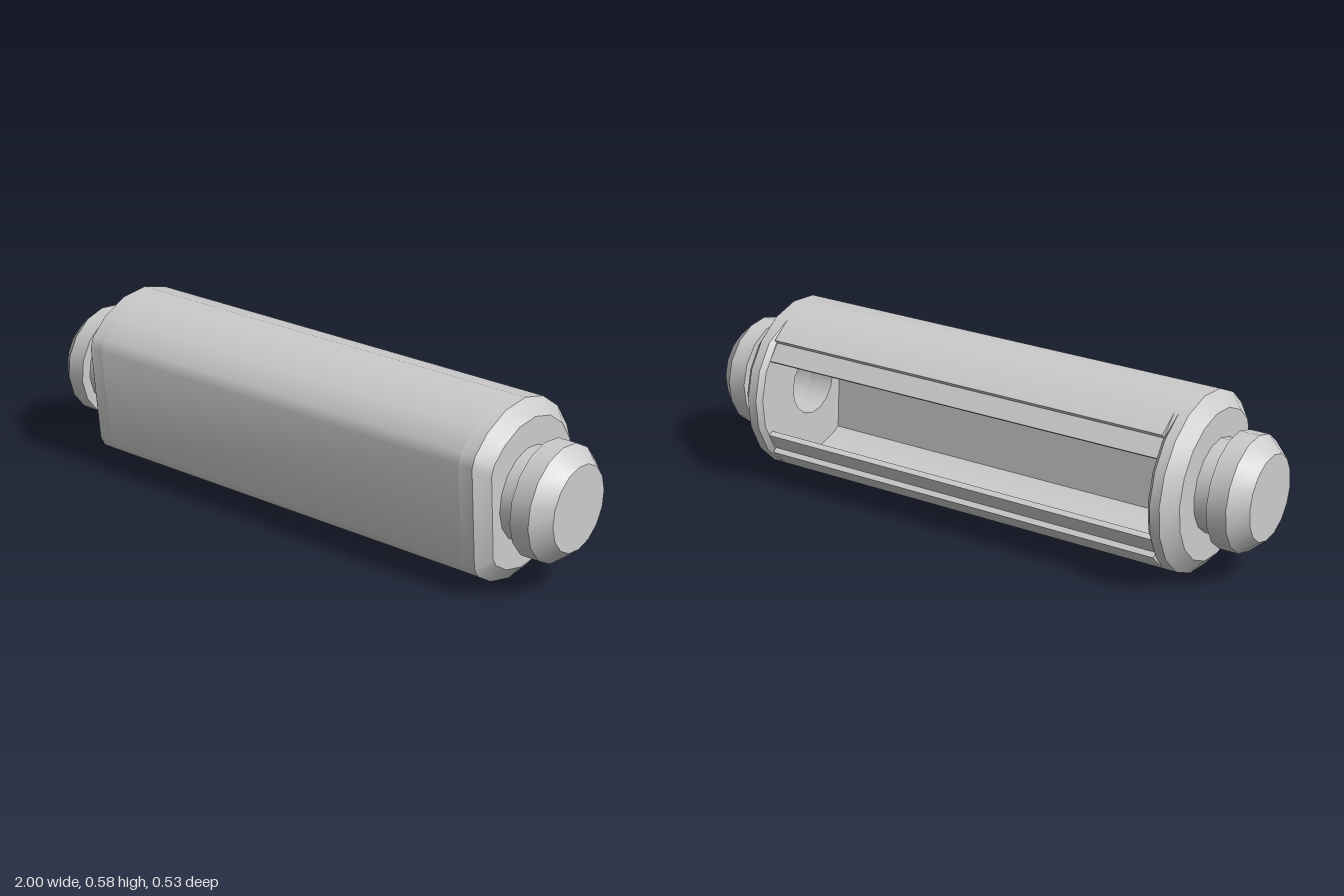
import * as THREE from 'three';
import { toCreasedNormals } from 'three/addons/utils/BufferGeometryUtils.js';

const R = 0.293;

// point on a circle, angle in degrees measured from the back (+X of the section)
const polar = (r, deg) => {
  const a = THREE.MathUtils.degToRad(deg);
  return [r * Math.cos(a), r * Math.sin(a)];
};
const flip = (pts) => pts.map(([u, v]) => [u, -v]);
const toVectors = (pts) => pts.map(([u, v]) => new THREE.Vector2(u, v));

// extrudes a cross-section (X = back, Y = up) along x through rings of { x, scale }
function sectionGeometry(shape, rings, scales = () => true) {
  const geo = new THREE.ExtrudeGeometry(shape, {
    depth: rings.length - 1, steps: rings.length - 1, bevelEnabled: false,
  });
  const p = geo.attributes.position;
  for (let i = 0; i < p.count; i++) {
    const ring = rings[Math.round(p.getZ(i))];
    const u = p.getX(i), v = p.getY(i);
    const k = scales(u, v, ring) ? ring.scale : 1;
    p.setXYZ(i, u * k, v * k, ring.x);
  }
  geo.rotateY(Math.PI / 2);
  return toCreasedNormals(geo, 0.6);
}

export function createModel() {
  const model = new THREE.Group();
  model.name = 'roller';
  const material = new THREE.MeshStandardMaterial({ color: 0xcccccc });
  const add = (name, geometry) => {
    const mesh = new THREE.Mesh(geometry, material);
    mesh.name = name;
    model.add(mesh);
  };

  // upper half of the round section with its flattened front
  const upper = [60, 80, 100, 120].map((a) => polar(R, a));
  upper.push([-0.212, 0.203], [-0.2275, 0.169]);

  // hollow shell, open at the back, with a recessed tongue along both edges
  const outer = [[0.215, 0.197], ...upper];
  const inner = [
    [0.2, 0.184], [0.239, 0.13], [0.22, 0.12],
    ...[40, 60, 80, 100, 120].map((a) => polar(0.25, a)), [-0.15, 0.2],
  ];
  const shell = new THREE.Shape(toVectors([
    ...outer, ...flip(outer).reverse(), ...flip(inner), ...[...inner].reverse(),
  ]));
  add('shell', sectionGeometry(shell, [{ x: -0.73, scale: 1 }, { x: 0.73, scale: 1 }]));

  // end walls with a chamfered outer rim, a softened inner lip and a bore
  const half = [polar(R, 20), polar(R, 40), ...upper];
  const wall = new THREE.Shape(toVectors([[R, 0], ...half, ...flip(half).reverse()]));
  const bore = [];
  for (let i = 0; i < 16; i++) bore.push(polar(0.11, -i * 22.5));
  wall.holes.push(new THREE.Path(toVectors(bore)));
  const wallRings = [
    { x: 0.73, scale: 0.94, lip: true }, { x: 0.745, scale: 1 },
    { x: 0.778, scale: 1 }, { x: 0.82, scale: 0.83 },
  ];
  const scaled = (u, v, ring) => Math.hypot(u, v) > 0.15 && (!ring.lip || u > 0.21);

  // stepped knob profile: bore, neck, flange, tapered face
  const knob = toVectors([
    [0, 0.9], [0.11, 0.9], [0.11, 0.82], [0.152, 0.82], [0.152, 0.88],
    [0.188, 0.88], [0.188, 0.945], [0.139, 1], [0, 1],
  ]);

  for (const [side, s] of [['left', 1], ['right', -1]]) {
    const rings = wallRings.map((r) => ({ ...r, x: r.x * s }));
    if (s < 0) rings.reverse();
    add(side + 'EndWall', sectionGeometry(wall, rings, scaled));

    const geo = new THREE.LatheGeometry(knob, 16);
    geo.rotateZ(-s * Math.PI / 2);
    add(side + 'Knob', toCreasedNormals(geo, 0.6));
  }

  // the whole body rests rolled slightly about its axis
  model.rotation.x = THREE.MathUtils.degToRad(4.8);
  model.position.set(0, 0.293, 0.027);
  const root = new THREE.Group();
  root.add(model);
  return root;
}
